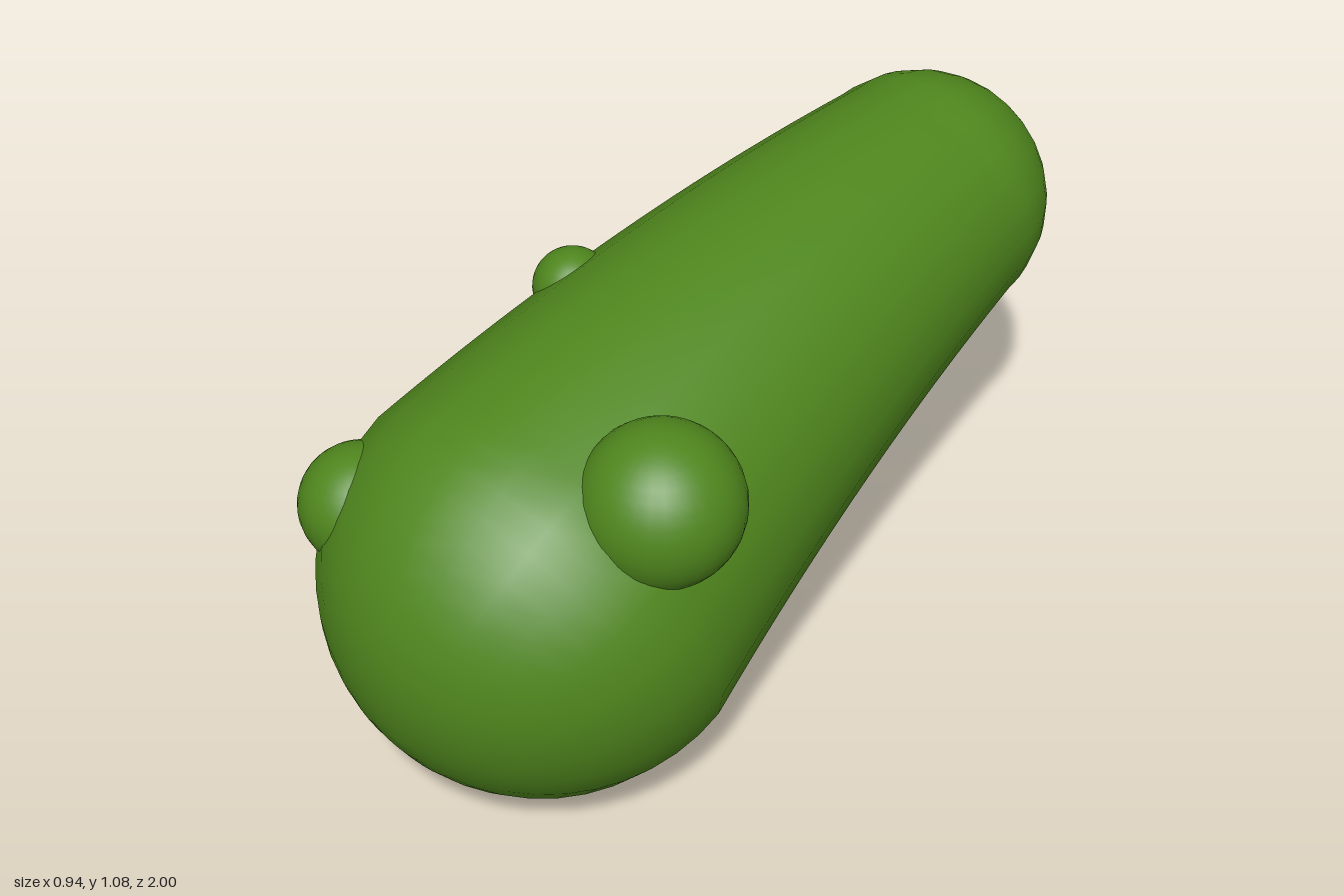
import * as THREE from 'three';

const SIDES = 24;

// Tapered, gently arched body with rounded ends, skinned from circular sections
function bodyGeometry() {
  const start = new THREE.Vector3(-0.01, 0.463, 0.533);
  const bend = new THREE.Vector3(-0.01, 0.7, -0.05);
  const end = new THREE.Vector3(-0.01, 0.789, -0.71);
  const r0 = 0.463, r1 = 0.29;
  const spine = new THREE.QuadraticBezierCurve3(start, bend, end);

  // Each section: spine parameter, shift along the tangent, radius
  const sections = [];
  const capSteps = 12, spineSteps = 24;
  for (let i = 0; i < capSteps; i++) {
    const a = (i / capSteps) * Math.PI / 2;
    sections.push([0, -r0 * Math.cos(a), r0 * Math.sin(a)]);
  }
  for (let i = 0; i <= spineSteps; i++) {
    const t = i / spineSteps;
    sections.push([t, 0, THREE.MathUtils.lerp(r0, r1, t)]);
  }
  for (let i = 1; i <= capSteps; i++) {
    const a = (i / capSteps) * Math.PI / 2;
    sections.push([1, r1 * Math.sin(a), r1 * Math.cos(a)]);
  }

  const positions = [], index = [];
  sections.forEach(([t, shift, radius], i) => {
    const tangent = spine.getTangent(t);
    const centre = spine.getPoint(t).addScaledVector(tangent, shift);
    const up = new THREE.Vector3(0, -tangent.z, tangent.y);
    for (let j = 0; j < SIDES; j++) {
      const a = (j / SIDES) * Math.PI * 2;
      const p = centre.clone().addScaledVector(up, radius * Math.sin(a));
      positions.push(p.x + radius * Math.cos(a), p.y, p.z);
      if (i === sections.length - 1) continue;
      const k = (j + 1) % SIDES;
      const A = i * SIDES + j, B = i * SIDES + k;
      index.push(A, A + SIDES, B, B, A + SIDES, B + SIDES);
    }
  });

  const geometry = new THREE.BufferGeometry();
  geometry.setAttribute('position', new THREE.Float32BufferAttribute(positions, 3));
  geometry.setIndex(index);
  geometry.computeVertexNormals();
  return geometry;
}

export function createModel() {
  const group = new THREE.Group();
  const skin = new THREE.MeshStandardMaterial({ color: 0x4f861d });

  const body = new THREE.Mesh(bodyGeometry(), skin);
  body.name = 'body';
  group.add(body);

  // Warts half sunk into the skin
  const warts = [
    ['largeWart', 0.17, 0.3, 0.78, 0.51],
    ['frontWart', 0.13, -0.29, 0.63, 0.76],
    ['smallWart', 0.085, -0.265, 0.868, 0.155],
  ];
  for (const [name, radius, x, y, z] of warts) {
    const wart = new THREE.Mesh(new THREE.SphereGeometry(radius, 32, 20), skin);
    wart.name = name;
    wart.position.set(x, y, z);
    group.add(wart);
  }
  return group;
}
